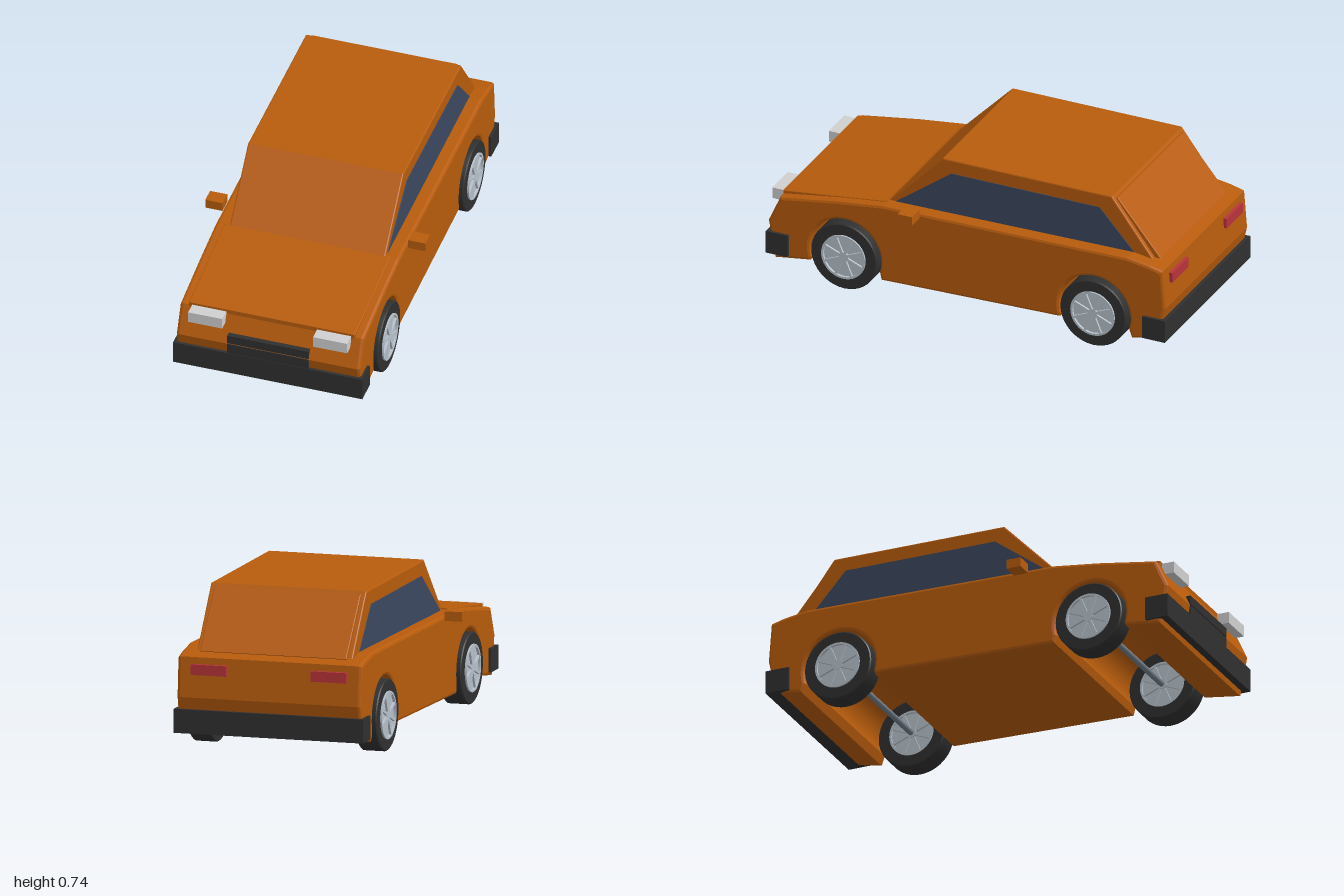
import * as THREE from 'three';
import { toCreasedNormals } from 'three/addons/utils/BufferGeometryUtils.js';

const material = (name, color) => {
  const m = new THREE.MeshStandardMaterial({ color });
  m.name = name;
  return m;
};

export function createModel() {
  const car = new THREE.Group();
  car.name = 'car';
  const paint = material('orange paint', 0xb85c0c);
  const black = material('black trim', 0x303030);
  const glass = material('tinted glass', 0x3c4860);
  const alloy = material('alloy', 0xb8c2cc);
  const lamp = material('headlight', 0xd0d0d0);
  const red = material('tail light red', 0xb8343a);
  const steel = material('axle steel', 0x76808c);

  const add = (parent, name, geometry, mat) => {
    const mesh = new THREE.Mesh(geometry, mat);
    mesh.name = name;
    parent.add(mesh);
    return mesh;
  };
  // Box given by its centre and size
  const box = (name, mat, x, y, z, w, h, d) =>
    add(car, name, new THREE.BoxGeometry(w, h, d), mat).position.set(x, y, z);

  // Side profile (z, y) extruded across the car, with bevelled edges
  const slab = (name, shape, halfWidth, bevel, mat, x = 0) => {
    const geo = new THREE.ExtrudeGeometry(shape, {
      depth: 2 * (halfWidth - bevel), curveSegments: 28,
      bevelEnabled: bevel > 0, bevelSize: bevel, bevelThickness: bevel,
      bevelOffset: -bevel, bevelSegments: 2,
    });
    geo.translate(0, 0, bevel - halfWidth);
    geo.rotateY(-Math.PI / 2);
    add(car, name, geo, mat).position.x = x;
  };
  const polygon = (points) => new THREE.Shape(points.map(([z, y]) => new THREE.Vector2(z, y)));

  // Lower body with wheel arches cut right across
  const frontZ = 0.608, rearZ = -0.64, archR = 0.177, archY = 0.168;
  const body = new THREE.Shape();
  body.moveTo(0.96, 0.07);
  body.lineTo(0.995, 0.255);
  body.lineTo(0.935, 0.388);
  body.lineTo(0.65, 0.434);
  body.lineTo(0.42, 0.463);
  body.lineTo(-0.8, 0.48);
  body.lineTo(-0.915, 0.462);
  body.lineTo(-0.98, 0.445);
  body.lineTo(-0.995, 0.26);
  body.lineTo(-0.96, 0.1);
  body.lineTo(-0.825, 0.07);
  body.absarc(rearZ, archY, archR, Math.PI + 0.3, -0.3, true);
  body.lineTo(-0.465, 0.098);
  body.lineTo(0.43, 0.076);
  body.absarc(frontZ, archY, archR, Math.PI + 0.3, -0.3, true);
  body.lineTo(0.785, 0.096);
  body.closePath();
  slab('body', body, 0.437, 0.014, paint);

  // Bonnet, cabin and rear hatch panel
  slab('bonnet', polygon([[0.938, 0.37], [0.938, 0.403], [0.42, 0.468], [0.42, 0.4]]), 0.395, 0.004, paint);
  slab('cabin', polygon([[0.42, 0.46], [0.15, 0.738], [-0.695, 0.738], [-0.908, 0.455], [-0.85, 0.4], [0.4, 0.4]]),
    0.37, 0.006, paint);
  slab('rearHatch', polygon([[-0.66, 0.72], [-0.715, 0.725], [-0.93, 0.465], [-0.87, 0.44]]), 0.348, 0.004, paint);

  // Parts mirrored left and right
  const windowOutline = polygon([[0.385, 0.463], [0.107, 0.67], [-0.636, 0.67], [-0.81, 0.478]]);
  for (const s of [1, -1]) {
    slab('sideWindow', windowOutline, 0.003, 0, glass, s * 0.37);
    box('doorMirror', paint, s * 0.482, 0.468, 0.268, 0.082, 0.044, 0.07);
    box('headlight', lamp, s * 0.297, 0.367, 0.97, 0.162, 0.054, 0.06);
    box('tailLight', red, s * 0.285, 0.39, -0.985, 0.17, 0.048, 0.03);
  }

  // Bumpers and grille
  box('frontBumper', black, 0, 0.15, 0.945, 0.9, 0.11, 0.11);
  box('rearBumper', black, 0, 0.15, -0.943, 0.9, 0.11, 0.114);
  box('upperGrille', black, 0, 0.282, 0.975, 0.386, 0.042, 0.046);
  box('lowerGrille', black, 0, 0.23, 0.975, 0.386, 0.052, 0.046);

  // Wheels: lathed tyre and rim, with spokes on both faces
  const lathe = (points) => toCreasedNormals(
    new THREE.LatheGeometry(points.map(([r, h]) => new THREE.Vector2(r, h)), 40).rotateZ(-Math.PI / 2), 0.5);
  const tyreGeo = lathe([[0.106, -0.052], [0.16, -0.052], [0.165, -0.047], [0.165, 0.047],
    [0.16, 0.052], [0.106, 0.052], [0.106, -0.052]]);
  const rimGeo = lathe([[0, -0.045], [0.1, -0.045], [0.1, -0.055], [0.11, -0.055], [0.11, 0.06],
    [0.1, 0.06], [0.1, 0.048], [0, 0.048]]);
  const hubGeo = new THREE.CylinderGeometry(0.024, 0.024, 0.116, 20).rotateZ(Math.PI / 2);
  const spokeGeo = new THREE.BoxGeometry(0.112, 0.085, 0.012).translate(0.002, 0.06, 0);
  for (const z of [frontZ, rearZ]) {
    for (const s of [1, -1]) {
      const wheel = new THREE.Group();
      wheel.name = 'wheel';
      add(wheel, 'tyre', tyreGeo, black);
      add(wheel, 'rim', rimGeo, alloy);
      add(wheel, 'hub', hubGeo, alloy);
      for (let i = 0; i < 8; i++) add(wheel, 'spoke', spokeGeo, alloy).rotation.x = (i + 0.5) * Math.PI / 4;
      wheel.position.set(s * 0.399, 0.165, z);
      if (s < 0) wheel.rotation.y = Math.PI;
      car.add(wheel);
    }
    const axle = add(car, 'axle', new THREE.CylinderGeometry(0.014, 0.014, 0.76, 16).rotateZ(Math.PI / 2), steel);
    axle.position.set(0, 0.165, z);
  }
  return car;
}
